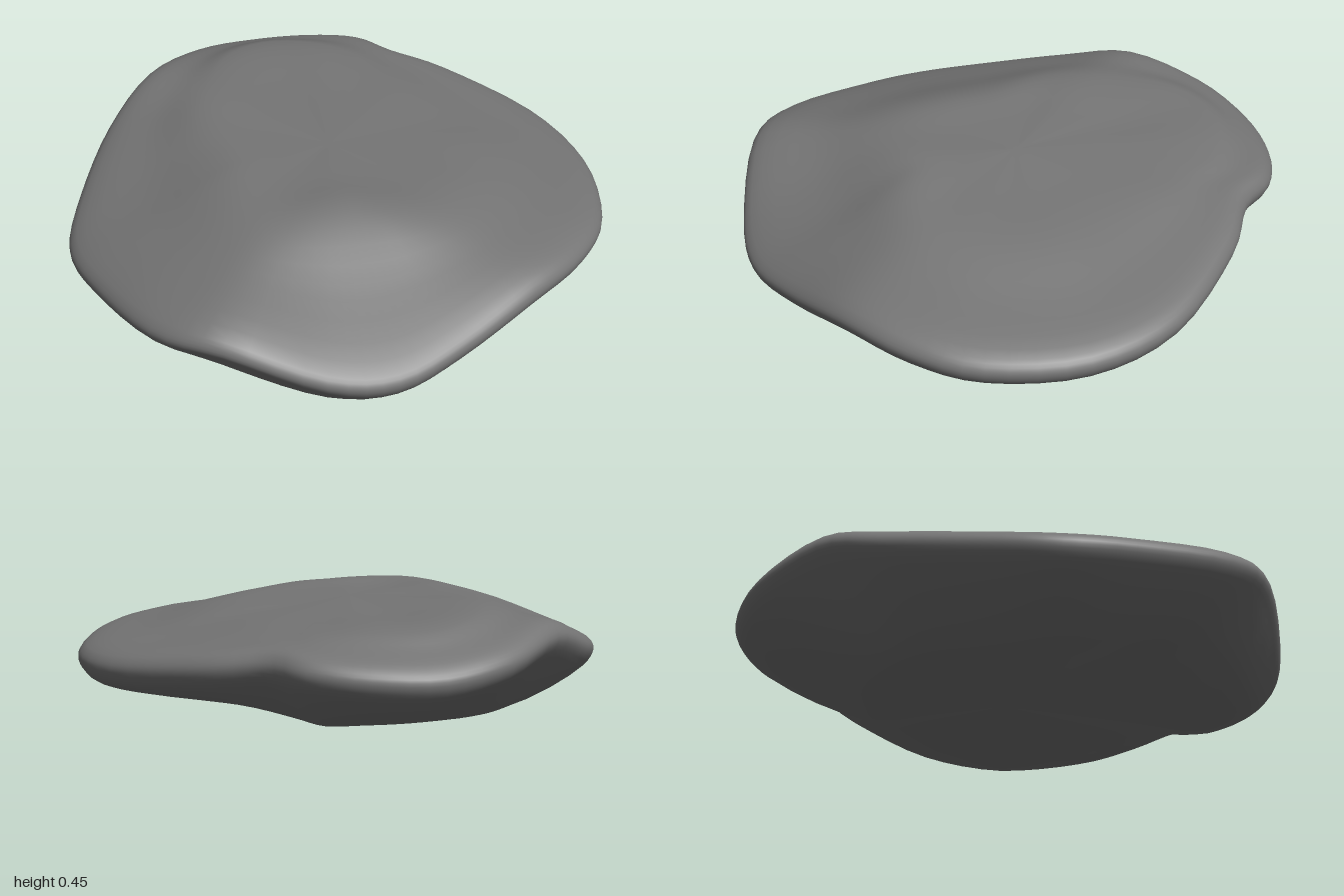
import * as THREE from 'three';
import { mergeVertices } from 'three/addons/utils/BufferGeometryUtils.js';

// Control columns around the rim, clockwise from the back:
// rim x, rim z, rim height, shoulder fraction, shoulder height, foot fraction, foot height
const COLUMNS = [
  [0, -1, 0.29, 0.79, 0.42, 0.55, 0.06],
  [0.24, -0.95, 0.295, 0.77, 0.415, 0.56, 0.06],
  [0.42, -0.84, 0.31, 0.74, 0.405, 0.6, 0.06],
  [0.52, -0.68, 0.315, 0.7, 0.4, 0.65, 0.08],
  [0.7, -0.52, 0.285, 0.6, 0.395, 0.75, 0.13],
  [0.93, -0.18, 0.24, 0.5, 0.385, 0.83, 0.135],
  [0.985, 0.17, 0.225, 0.5, 0.385, 0.86, 0.12],
  [0.88, 0.51, 0.235, 0.5, 0.39, 0.87, 0.15],
  [0.7, 0.71, 0.25, 0.5, 0.4, 0.87, 0.165],
  [0.45, 0.85, 0.25, 0.52, 0.41, 0.87, 0.14],
  [0.15, 0.95, 0.18, 0.48, 0.43, 0.87, 0.05],
  [-0.1, 1, 0.14, 0.42, 0.44, 0.87, 0.02],
  [-0.34, 0.96, 0.17, 0.43, 0.445, 0.86, 0.015],
  [-0.65, 0.82, 0.29, 0.48, 0.445, 0.81, 0.06],
  [-0.84, 0.62, 0.27, 0.46, 0.445, 0.77, 0.08],
  [-0.96, 0.25, 0.22, 0.42, 0.45, 0.74, 0.025],
  [-0.985, 0, 0.2, 0.4, 0.45, 0.68, 0.01],
  [-0.89, -0.25, 0.23, 0.44, 0.45, 0.67, 0.02],
  [-0.71, -0.55, 0.295, 0.56, 0.45, 0.66, 0.045],
  [-0.5, -0.75, 0.37, 0.63, 0.455, 0.65, 0.055],
  [-0.25, -0.94, 0.325, 0.74, 0.44, 0.58, 0.06],
];
const AROUND = 84, ACROSS = 40;

const loop = (pick) =>
  new THREE.CatmullRomCurve3(COLUMNS.map(pick), true, 'catmullrom', 0.5);

function slabGeometry() {
  const rimLoop = loop(([x, z, y]) => new THREE.Vector3(x, y, z));
  const shoulderLoop = loop((c) => new THREE.Vector3(c[3], c[4], 0));
  const footLoop = loop((c) => new THREE.Vector3(c[5], c[6], 0));
  const positions = [], index = [];

  for (let i = 0; i < AROUND; i++) {
    const t = i / AROUND;
    const rim = rimLoop.getPoint(t);
    const shoulder = shoulderLoop.getPoint(t);
    const foot = footLoop.getPoint(t);
    // Radial section: plateau, shoulder, rounded rim, undercut, underside
    const section = new THREE.CatmullRomCurve3([
      [0, 0.435], [shoulder.x * 0.5, (0.435 + shoulder.y) / 2], [shoulder.x, shoulder.y],
      [(shoulder.x + 0.965) / 2, (shoulder.y + rim.y + 0.045) / 2],
      [0.965, rim.y + 0.045], [1, rim.y], [0.97, rim.y - 0.06],
      [foot.x, foot.y], [foot.x * 0.55, foot.y * 0.5 + 0.018], [0, 0.04],
    ].map(([f, y]) => new THREE.Vector3(f, y, 0)));
    for (let j = 0; j <= ACROSS; j++) {
      const p = section.getPoint(j / ACROSS);
      positions.push(rim.x * p.x, Math.max(0, p.y), rim.z * p.x);
    }
  }

  // The first ring meets at one point on top, the last at one point underneath
  const at = (i, j) => (i % AROUND) * (ACROSS + 1) + j;
  for (let i = 0; i < AROUND; i++) {
    for (let j = 0; j < ACROSS; j++) {
      const a = at(i, j), b = at(i + 1, j), c = at(i, j + 1), d = at(i + 1, j + 1);
      if (j > 0) index.push(a, b, c);
      if (j < ACROSS - 1) index.push(b, d, c);
    }
  }
  const geometry = new THREE.BufferGeometry();
  geometry.setAttribute('position', new THREE.Float32BufferAttribute(positions, 3));
  geometry.setIndex(index);
  const welded = mergeVertices(geometry, 1e-5);
  welded.computeVertexNormals();
  return welded;
}

export function createModel() {
  const stoneGrey = new THREE.MeshStandardMaterial({ color: 0x757575 });
  stoneGrey.name = 'stoneGrey';

  const slab = new THREE.Mesh(slabGeometry(), stoneGrey);
  slab.name = 'rockSlab';

  const group = new THREE.Group();
  group.name = 'flatRock';
  group.add(slab);
  return group;
}
